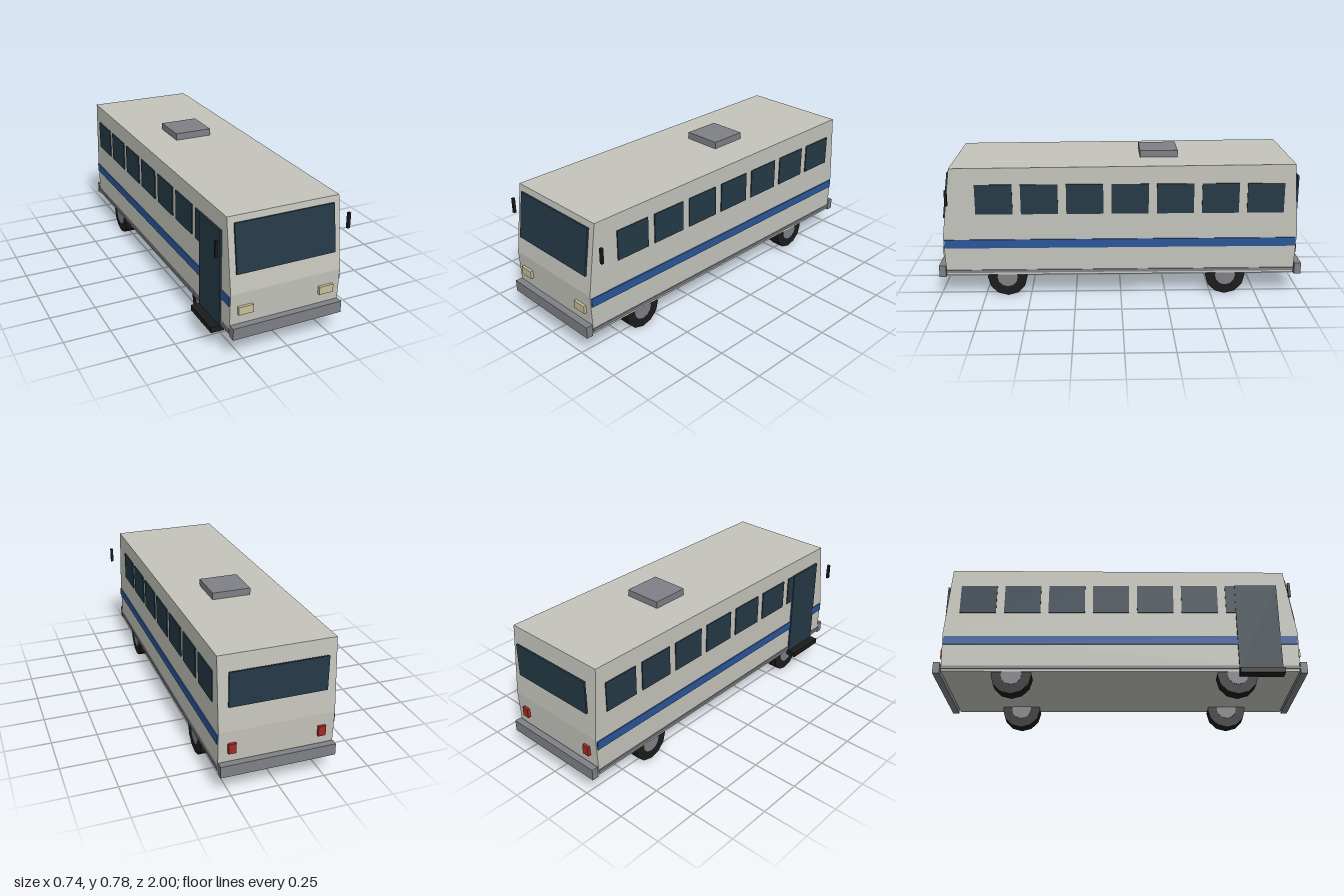
import * as THREE from 'three';

const mat = (name, color) => {
  const m = new THREE.MeshStandardMaterial({ color });
  m.name = name;
  return m;
};

export function createModel() {
  const paint = mat('body paint', 0xc4c4bc);
  const grey = mat('grey trim', 0x7e8086);
  const glass = mat('dark glass', 0x243946);
  const blue = mat('blue stripe', 0x2a5698);
  const black = mat('black rubber', 0x1c1c1c);
  const cream = mat('headlight cream', 0xc8be98);
  const red = mat('tail light red', 0xa02a22);

  const bus = new THREE.Group();
  bus.name = 'bus';

  const add = (name, geometry, material, parent = bus) => {
    const mesh = new THREE.Mesh(geometry, material);
    mesh.name = name;
    parent.add(mesh);
    return mesh;
  };
  // Box given by its extents on each axis
  const box = (name, material, [x0, x1], [y0, y1], [z0, z1]) => {
    const mesh = add(name, new THREE.BoxGeometry(x1 - x0, y1 - y0, z1 - z0), material);
    mesh.position.set((x0 + x1) / 2, (y0 + y1) / 2, (z0 + z1) / 2);
    return mesh;
  };
  // The same box on either side of the centre plane
  const pair = (name, material, [x0, x1], y, z) => {
    box(name + 'Left', material, [x0, x1], y, z);
    box(name + 'Right', material, [-x1, -x0], y, z);
  };

  // Body shell: side profile (z, y) extruded across the width
  const profile = new THREE.Shape([
    [0.958, 0.125], [0.967, 0.345], [0.915, 0.73],
    [-0.937, 0.743], [-0.965, 0.345], [-0.955, 0.125],
  ].map(([z, y]) => new THREE.Vector2(z, y)));
  const shell = new THREE.ExtrudeGeometry(profile, { depth: 0.61, bevelEnabled: false });
  shell.translate(0, 0, -0.305).rotateY(-Math.PI / 2);
  add('body', shell, paint);

  // Front and rear glass
  const windshield = add('windshield', new THREE.BoxGeometry(0.544, 0.254, 0.01), glass);
  windshield.position.set(0, 0.572, 0.944);
  windshield.rotation.x = -0.134;
  box('rearWindow', glass, [-0.255, 0.255], [0.48, 0.665], [-0.97, -0.96]);

  // Side windows, stripe and lower trim
  for (let i = 0; i < 7; i++) {
    const z = 0.684 - i * 0.2445;
    pair('sideWindow' + (i + 1), glass, [0.303, 0.311], [0.476, 0.641], [z - 0.1, z + 0.1]);
  }
  pair('stripe', blue, [0.303, 0.311], [0.283, 0.331], [-0.957, 0.96]);
  pair('lowerTrim', grey, [0.303, 0.311], [0.139, 0.155], [-0.957, 0.96]);

  // Entrance door and step on the right side
  box('door', glass, [-0.315, -0.304], [0.126, 0.643], [0.637, 0.87]);
  box('doorStep', black, [-0.36, -0.29], [0.097, 0.127], [0.635, 0.872]);

  // Bumpers, lights, mirrors and roof unit
  box('frontBumper', grey, [-0.305, 0.305], [0.115, 0.178], [0.963, 1]);
  box('rearBumper', grey, [-0.305, 0.305], [0.115, 0.178], [-1, -0.963]);
  pair('headlight', cream, [0.185, 0.265], [0.232, 0.275], [0.96, 0.979]);
  pair('tailLight', red, [0.216, 0.256], [0.226, 0.28], [-0.977, -0.958]);
  pair('mirror', black, [0.356, 0.371], [0.543, 0.627], [0.92, 0.934]);
  box('roofUnit', grey, [-0.106, 0.106], [0.735, 0.776], [-0.32, -0.11]);

  // Wheels: faceted tyre with a hub standing slightly proud
  const cylinder = (radius, width) =>
    new THREE.CylinderGeometry(radius, radius, width, 12).toNonIndexed().rotateZ(Math.PI / 2);
  const tyre = cylinder(0.109, 0.075);
  const hub = cylinder(0.056, 0.08);
  tyre.computeVertexNormals();
  hub.computeVertexNormals();
  for (const [end, z] of [['front', 0.627], ['rear', -0.58]]) {
    for (const [side, x] of [['Left', 0.26], ['Right', -0.26]]) {
      const wheel = new THREE.Group();
      wheel.name = end + side + 'Wheel';
      wheel.position.set(x, 0.109, z);
      add('tyre', tyre, black, wheel);
      add('hub', hub, grey, wheel);
      bus.add(wheel);
    }
  }
  return bus;
}
